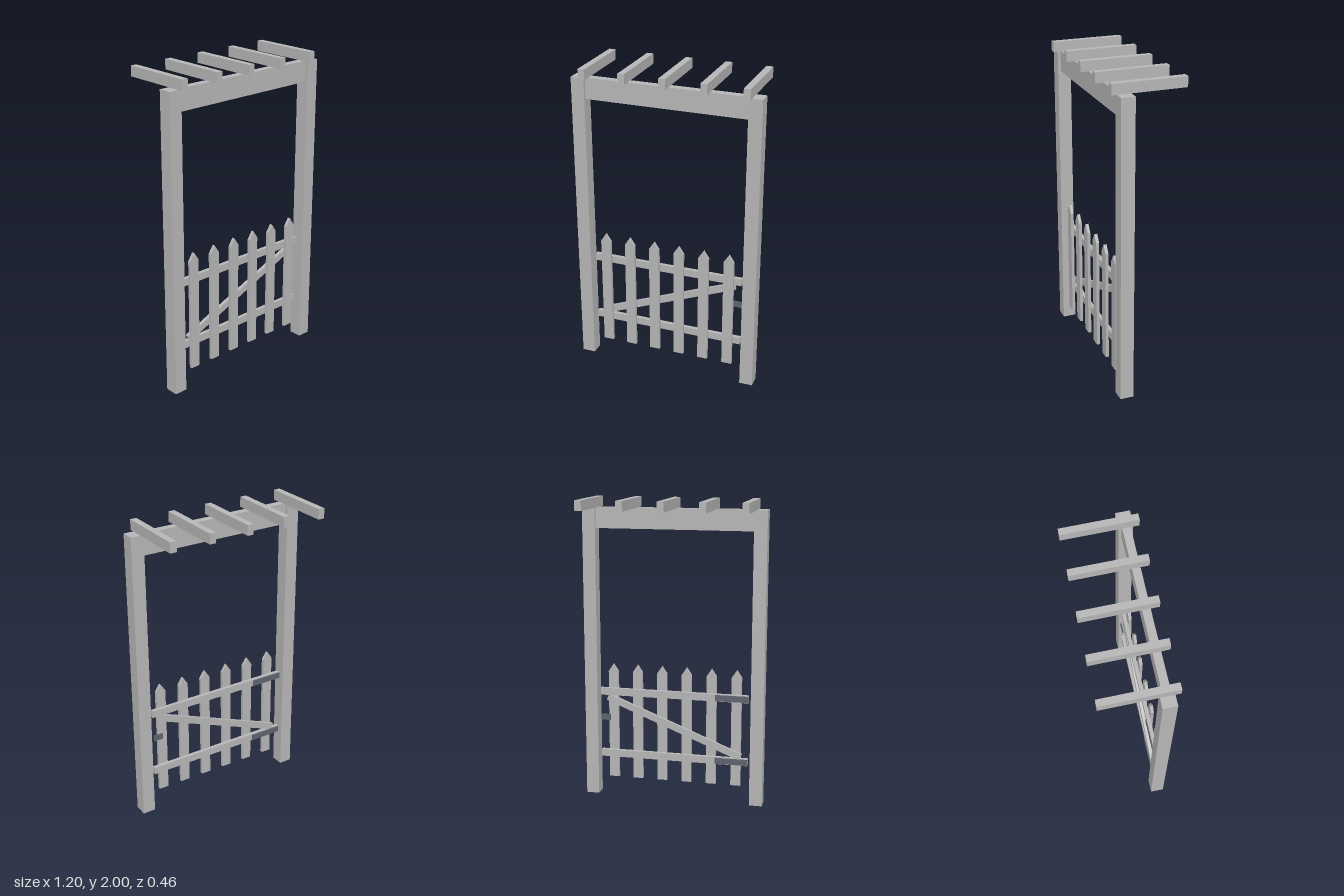
import * as THREE from 'three';

export function createModel() {
  const model = new THREE.Group();
  model.name = 'gardenGateArch';

  const wood = new THREE.MeshStandardMaterial({ color: 0xb6b6b6 });
  wood.name = 'grey wood';
  const metal = new THREE.MeshStandardMaterial({ color: 0x5e646e });
  metal.name = 'dark metal';

  const add = (parent, name, geometry, material) => {
    const mesh = new THREE.Mesh(geometry, material);
    mesh.name = name;
    parent.add(mesh);
    return mesh;
  };

  // Box given by its lower and upper limits on each axis
  const box = (parent, name, [x0, x1], [y0, y1], [z0, z1], material = wood) => {
    const mesh = add(parent, name, new THREE.BoxGeometry(x1 - x0, y1 - y0, z1 - z0), material);
    mesh.position.set((x0 + x1) / 2, (y0 + y1) / 2, (z0 + z1) / 2);
    return mesh;
  };

  // Posts and the beam between them
  const postZ = [0.112, 0.198];
  box(model, 'leftPost', [0.515, 0.6], [0, 1.935], postZ);
  box(model, 'rightPost', [-0.6, -0.515], [0, 1.935], postZ);
  box(model, 'beam', [-0.515, 0.515], [1.8, 1.935], [0.13, 0.179]);

  // Rafters reaching back over the beam
  for (let i = -2; i <= 2; i++) {
    const x = i * 0.2575;
    box(model, 'rafter', [x - 0.021, x + 0.021], [1.935, 2], [-0.231, 0.231]);
  }

  // Gate: rails with strap hinges on the back
  const gate = new THREE.Group();
  gate.name = 'gate';
  model.add(gate);
  const railZ = [0.13, 0.155];
  const plateZ = [0.123, 0.13];
  for (const y of [0.287, 0.715]) {
    box(gate, 'rail', [-0.497, 0.495], [y - 0.024, y + 0.024], railZ);
    box(gate, 'hinge', [-0.497, -0.28], [y - 0.02, y + 0.02], plateZ, metal);
  }

  // Diagonal brace between the rails
  const brace = add(gate, 'brace', new THREE.BoxGeometry(0.968, 0.044, 0.024), wood);
  brace.position.set(0, 0.498, 0.1425);
  brace.rotation.z = Math.atan(0.4);

  // Latch on the opening side
  box(gate, 'latch', [0.43, 0.495], [0.52, 0.56], plateZ, metal);

  // Pointed pickets on the front of the rails
  const outline = new THREE.Shape([
    new THREE.Vector2(-0.033, 0.115),
    new THREE.Vector2(0.033, 0.115),
    new THREE.Vector2(0.033, 0.85),
    new THREE.Vector2(0, 0.9),
    new THREE.Vector2(-0.033, 0.85),
  ]);
  const picketGeometry = new THREE.ExtrudeGeometry(outline, { depth: 0.02, bevelEnabled: false });
  for (let i = 0; i < 6; i++) {
    add(gate, 'picket', picketGeometry, wood).position.set((i - 2.5) * 0.166, 0, 0.155);
  }

  return model;
}
